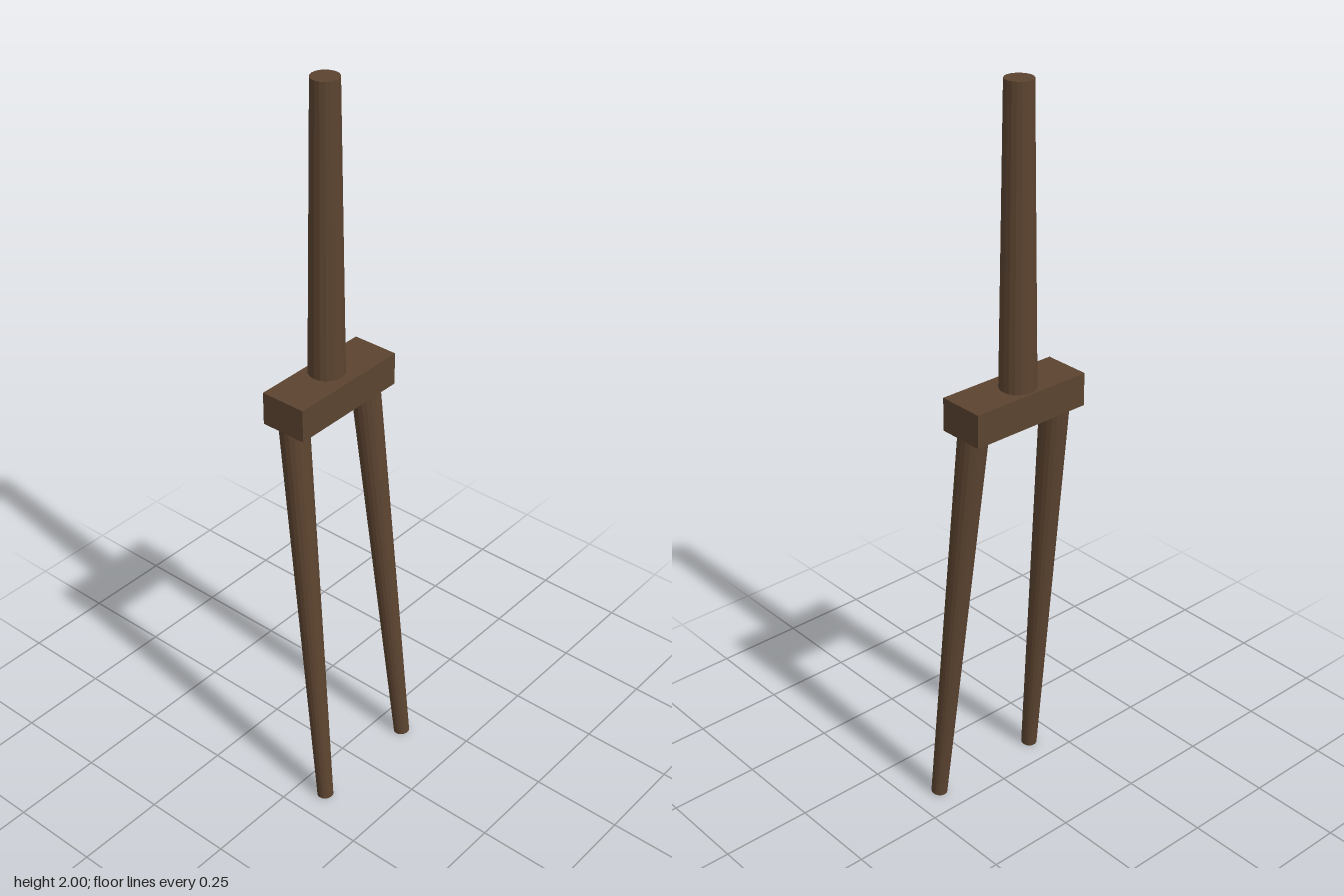
import * as THREE from 'three';

const UP = new THREE.Vector3(0, 1, 0);

// Tapered round tube running between two points
function taperedTube(name, from, to, rFrom, rTo, material) {
  const axis = new THREE.Vector3().subVectors(to, from);
  const mesh = new THREE.Mesh(new THREE.CylinderGeometry(rTo, rFrom, axis.length(), 18), material);
  mesh.name = name;
  mesh.position.copy(from).addScaledVector(axis, 0.5);
  mesh.quaternion.setFromUnitVectors(UP, axis.normalize());
  return mesh;
}

export function createModel() {
  const group = new THREE.Group();
  group.name = 'fork';
  const brown = new THREE.MeshStandardMaterial({ color: 0x5c4430, flatShading: true });
  brown.name = 'darkBrown';

  // Upright steering column
  group.add(taperedTube('steeringColumn',
    new THREE.Vector3(-0.051, 1.22, 0), new THREE.Vector3(-0.051, 2, 0), 0.048, 0.036, brown));

  // Crown block joining the column and both blades
  const crown = new THREE.Mesh(new THREE.BoxGeometry(0.127, 0.089, 0.349), brown);
  crown.name = 'crown';
  crown.position.set(-0.04, 1.189, 0);
  group.add(crown);

  // Splayed, raked fork blades
  for (const side of [1, -1]) {
    group.add(taperedTube(side > 0 ? 'frontBlade' : 'backBlade',
      new THREE.Vector3(0.08, 0.002, 0.167 * side),
      new THREE.Vector3(-0.042, 1.165, 0.134 * side), 0.022, 0.039, brown));
  }
  return group;
}
